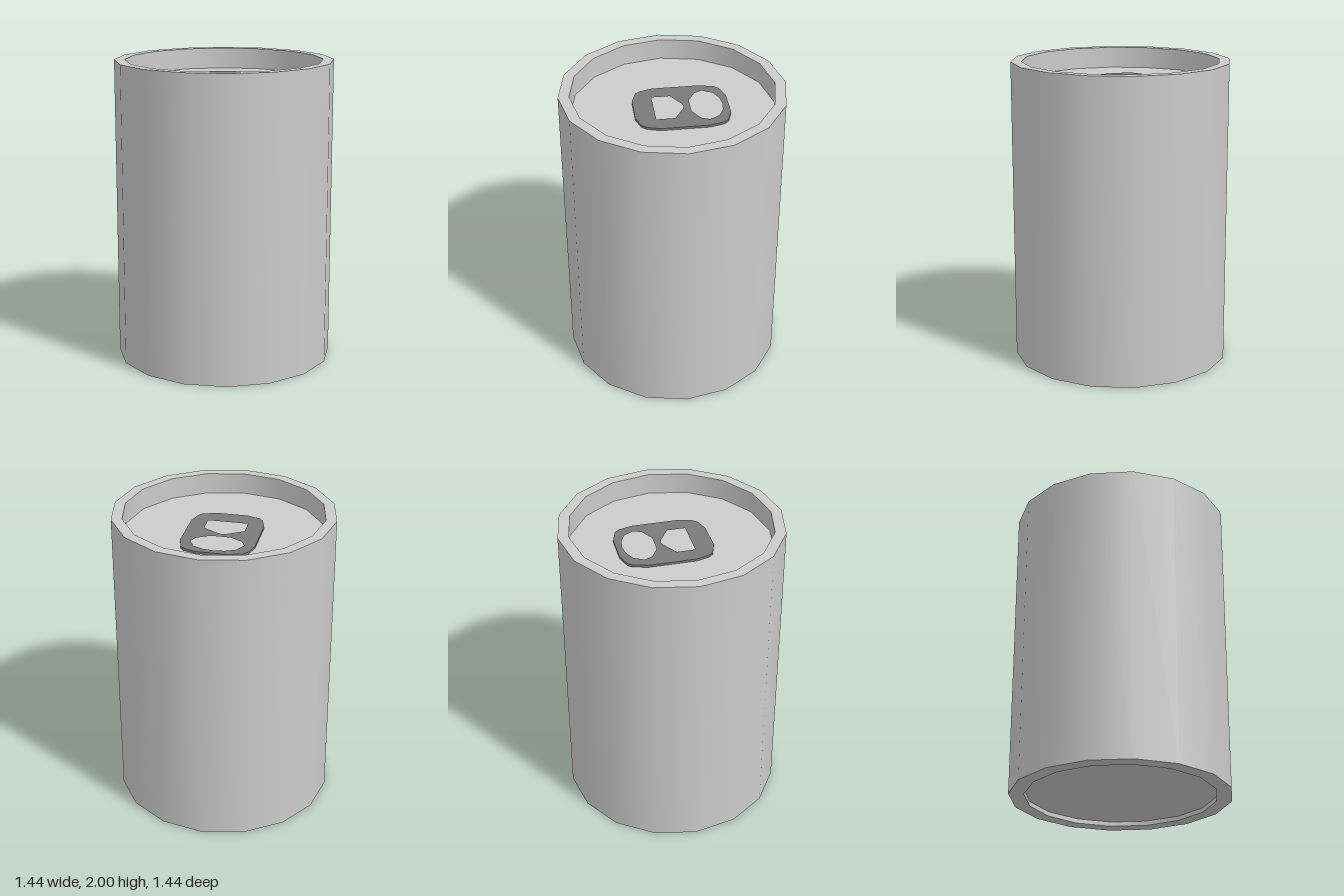
import * as THREE from 'three';

const SIDES = 16;
const FLOOR_Y = 1.86;

// Closed outline from its right half, given as [x, z] pairs from back to front
function mirrored(half, Type) {
  const right = half.map(([x, z]) => new THREE.Vector2(x, -z));
  const left = half.filter(([x]) => x > 0).map(([x, z]) => new THREE.Vector2(-x, -z)).reverse();
  return new Type([...right, ...left]);
}

export function createModel() {
  const model = new THREE.Group();
  model.name = 'drinkCan';
  const metal = new THREE.MeshStandardMaterial({ color: 0xcccccc });
  const darkMetal = new THREE.MeshStandardMaterial({ color: 0x7a7a7a });

  // Can body: one ring per profile step, so every rim edge stays sharp
  const body = new THREE.Group();
  body.name = 'canBody';
  const profile = [
    [0, 0.03], [0.62, 0.03], [0.62, 0], [0.72, 0],
    [0.72, 2], [0.65, 2], [0.65, FLOOR_Y], [0, FLOOR_Y],
  ].map(([r, y]) => new THREE.Vector2(r, y));
  const names = ['base', 'baseRecessWall', 'baseRim', 'outerWall', 'topRim', 'topRecessWall', 'lid'];
  names.forEach((name, i) => {
    const ring = new THREE.Mesh(new THREE.LatheGeometry([profile[i], profile[i + 1]], SIDES), metal);
    ring.name = name;
    body.add(ring);
  });
  model.add(body);

  // Pull tab: thin rounded plate with a finger hole and a rivet cut-out
  const plate = mirrored([
    [0.1, -0.355], [0.19, -0.325], [0.215, -0.295], [0.24, -0.2],
    [0.24, 0.105], [0.215, 0.19], [0.19, 0.22], [0.1, 0.25],
  ], THREE.Shape);
  const fingerHole = mirrored([
    [0, -0.317], [0.07, -0.308], [0.135, -0.277], [0.172, -0.21], [0.148, -0.158], [0.065, -0.11],
  ], THREE.Path);
  const rivetHole = mirrored([
    [0, -0.07], [0.03, -0.06], [0.132, 0.003], [0.132, 0.122],
  ], THREE.Path);
  plate.holes.push(fingerHole, rivetHole);

  const tabGeometry = new THREE.ExtrudeGeometry(plate, { depth: 0.015, bevelEnabled: false });
  tabGeometry.rotateX(-Math.PI / 2);
  const tab = new THREE.Mesh(tabGeometry, darkMetal);
  tab.name = 'pullTab';
  tab.position.y = FLOOR_Y;
  model.add(tab);

  return model;
}
